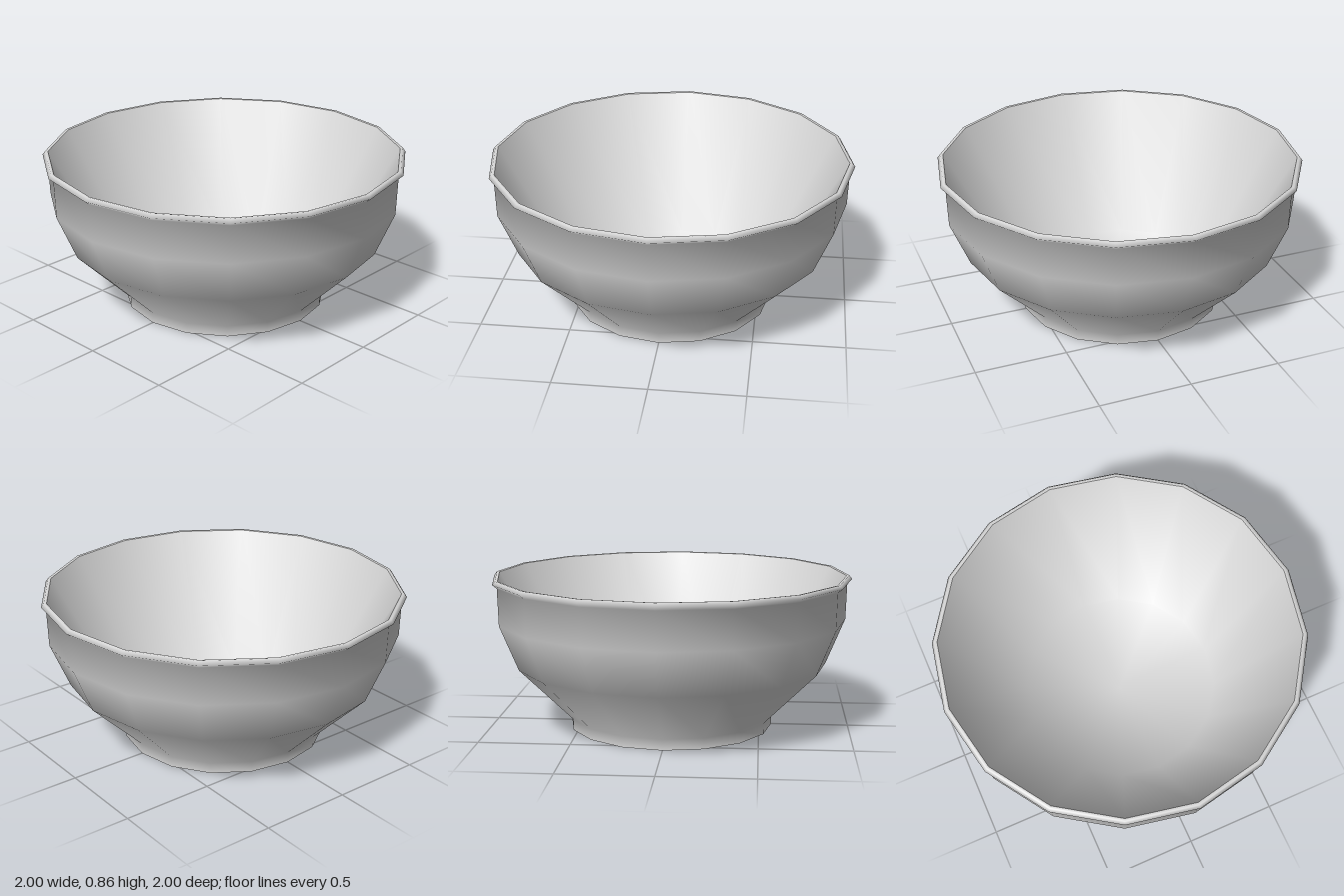
import * as THREE from 'three';
import { toCreasedNormals } from 'three/addons/utils/BufferGeometryUtils.js';

const SIDES = 16;

export function createModel() {
  const bowl = new THREE.Group();
  bowl.name = 'bowl';
  const ceramic = new THREE.MeshStandardMaterial({ color: 0xd6d6d6 });
  ceramic.name = 'pale grey ceramic';

  const add = (name, geometry) => {
    const mesh = new THREE.Mesh(geometry, ceramic);
    mesh.name = name;
    bowl.add(mesh);
    return mesh;
  };
  // Turned part from [radius, height] pairs, smooth over every edge
  const turned = (name, profile) => {
    const points = profile.map(([r, y]) => new THREE.Vector2(r, y));
    add(name, toCreasedNormals(new THREE.LatheGeometry(points, SIDES), Math.PI));
  };

  // Upright foot, flared wall and the small overhanging lip
  turned('outerWall', [
    [0.57, 0], [0.57, 0.06], [0.868, 0.36], [0.97, 0.61],
    [0.975, 0.815], [1, 0.835], [0.985, 0.855], [0.97, 0.853],
  ]);

  // Hollow inside: sloping wall down to a nearly flat floor
  turned('innerWall', [[0.97, 0.853], [0.55, 0.1], [0, 0.06]]);

  // Flat underside closing the foot
  const base = add('base', new THREE.CircleGeometry(0.57, SIDES));
  base.rotation.x = Math.PI / 2;

  return bowl;
}
